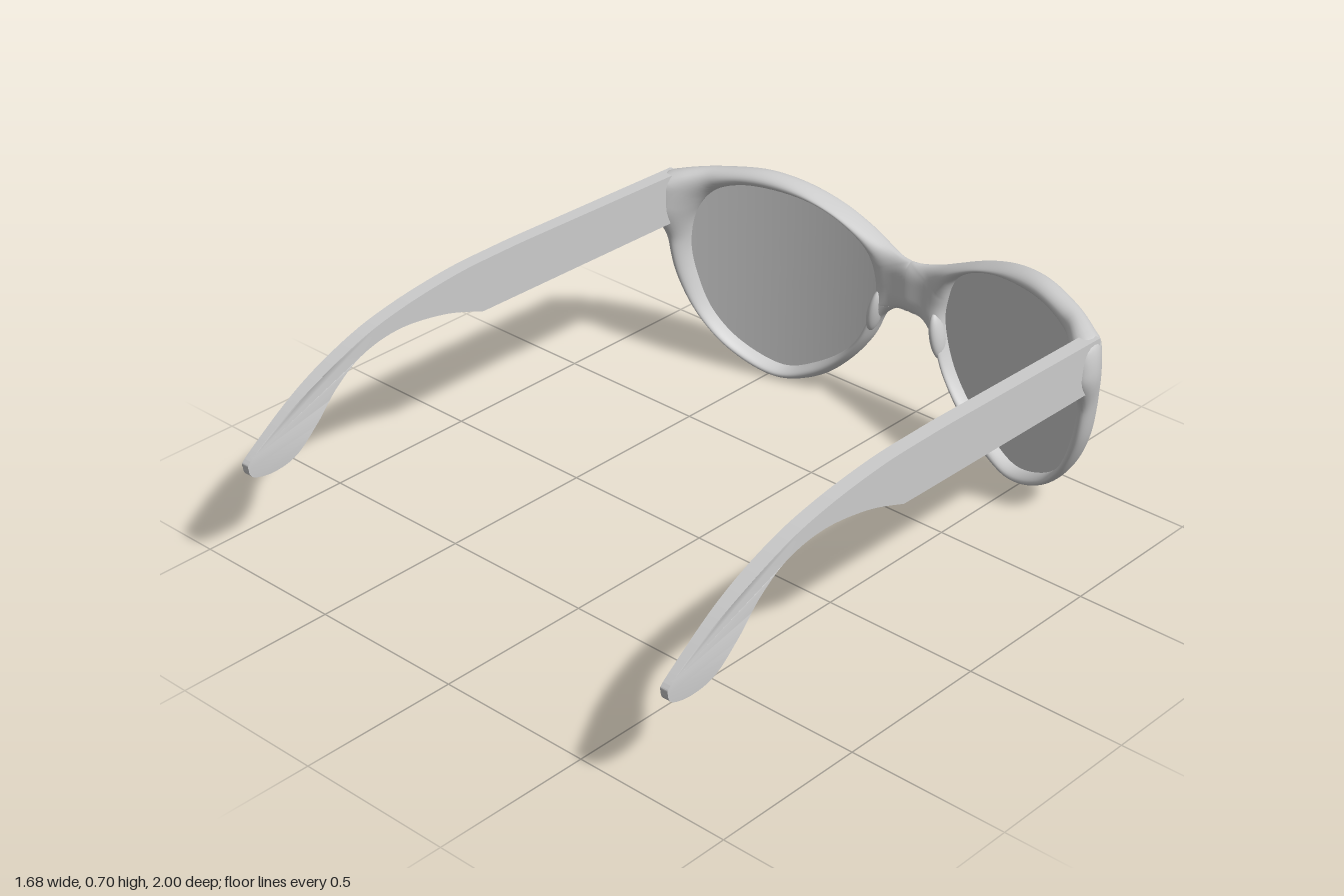
import * as THREE from 'three';
import { mergeVertices, toCreasedNormals } from 'three/addons/utils/BufferGeometryUtils.js';

const V = (p) => new THREE.Vector3(p[0], p[1], 0);
const smooth = THREE.MathUtils.smoothstep;

// half of the frame outline, from the top of the bridge round to the nose arch
const OUTER = [[0, .55], [.04, .552], [.1, .567], [.28, .645], [.415, .69], [.53, .705], [.66, .692], [.78, .672],
  [.82, .655], [.84, .56], [.82, .45], [.79, .31], [.73, .19], [.64, .085], [.53, .02], [.44, .005], [.325, .045],
  [.235, .12], [.155, .225], [.105, .325], [.055, .37], [.03, .378], [0, .38]];
// lens opening
const INNER = [[.13, .39], [.137, .46], [.165, .54], [.235, .597], [.325, .635], [.46, .652], [.6, .645], [.69, .605],
  [.74, .53], [.76, .415], [.74, .3], [.69, .18], [.6, .09], [.46, .04], [.35, .08], [.235, .165], [.165, .265]];
const CX = .45, CY = .35;

// wrap of the front, with a small dip at the bridge
const bend = (x) => -.96 + .295 * x * x + .014 * Math.exp(-((x / .06) ** 2));
// extra depth of the corner that carries the temple
const corner = (x, y) => .05 * smooth(x, .68, .8) * smooth(y, .42, .56);

// rows of points joined into a closed band; flip turns the faces round
function sheet(rows, flip, pos, idx) {
  const base = pos.length / 3, w = rows[0].length, n = rows.length;
  rows.forEach((r) => r.forEach((p) => pos.push(...p)));
  for (let i = 0; i < n; i++) {
    for (let k = 0; k < w - 1; k++) {
      const a = base + i * w + k, b = base + ((i + 1) % n) * w + k;
      if (flip) idx.push(a, b + 1, b, a, a + 1, b + 1);
      else idx.push(a, b, b + 1, a, b + 1, a + 1);
    }
  }
}

function finish(pos, idx) {
  let g = new THREE.BufferGeometry();
  g.setAttribute('position', new THREE.Float32BufferAttribute(pos, 3));
  g.setIndex(idx);
  g = mergeVertices(g, 1e-4);
  g.computeVertexNormals();
  return g;
}

export function createModel() {
  const group = new THREE.Group();
  const mat = new THREE.MeshStandardMaterial({ color: 0xcccccc });
  const thin = new THREE.MeshStandardMaterial({ color: 0xcccccc, side: THREE.DoubleSide });
  const add = (name, geo, m = mat) => {
    const mesh = new THREE.Mesh(geo, m);
    mesh.name = name;
    group.add(mesh);
    return mesh;
  };

  const outerCurve = new THREE.CatmullRomCurve3(OUTER.map(V), false, 'centripetal');
  const innerCurve = new THREE.CatmullRomCurve3(INNER.map(V), true, 'centripetal');
  const outerDense = outerCurve.getSpacedPoints(1200);
  const innerDense = innerCurve.getSpacedPoints(1600);
  const dist = (x, y, pts) => Math.sqrt(pts.reduce((m, p) => Math.min(m, (p.x - x) ** 2 + (p.y - y) ** 2), 9));
  const innerAt = (p) => { // opening point in the same direction from the lens centre
    const l = Math.hypot(p.x - CX, p.y - CY), ux = (p.x - CX) / l, uy = (p.y - CY) / l;
    let best = innerDense[0], top = -2;
    for (const q of innerDense) {
      const c = ((q.x - CX) * ux + (q.y - CY) * uy) / Math.hypot(q.x - CX, q.y - CY);
      if (c > top) { top = c; best = q; }
    }
    return best;
  };

  // frame front: rounded in depth by the distance to the nearest edge
  const N = 150, B = 16, M = 14;
  const rim = outerCurve.getSpacedPoints(N);
  for (let i = 1; i < B; i++) rim.push(new THREE.Vector3(0, .38 + .17 * i / B, 0));
  const front = [], back = [];
  rim.forEach((o, i) => {
    const q = innerAt(o), f = [], b = [];
    for (let k = 0; k <= M; k++) {
      const t = (1 - Math.cos(Math.PI * k / M)) / 2;
      const x = q.x * (1 - t) + o.x * t, y = q.y * (1 - t) + o.y * t;
      let round = 0;
      if (k > 0 && (k < M || i > N)) {
        const dI = dist(x, y, innerDense), dO = dist(x, y, outerDense);
        const r = Math.min(.055, (dI + dO) / 2);
        round = Math.sqrt(1 - (1 - Math.min(1, Math.min(dI, dO) / r)) ** 2);
      }
      const e = corner(x, y), z = bend(x) + e * .4;
      const h = .028 + .014 * smooth(x, .02, .16);
      f.push([x, y, z - (h + e * .3) * round]);
      b.push([x, y, z + (h + e * .6) * round]);
    }
    front.push(f);
    back.push(b);
  });
  const mirror = (rows) => rows.map((r) => r.map(([x, y, z]) => [-x, y, z]));
  const pos = [], idx = [];
  sheet(front, true, pos, idx);
  sheet(back, false, pos, idx);
  sheet(mirror(front), false, pos, idx);
  sheet(mirror(back), true, pos, idx);
  add('frameFront', finish(pos, idx));

  // lenses: curved panes tucked slightly into the rims
  const lensRows = innerCurve.getSpacedPoints(90).slice(0, 90).map((p) => {
    const row = [];
    for (let k = 0; k <= 12; k++) {
      const s = 1.015 * k / 12, x = CX + (p.x - CX) * s;
      row.push([x, CY + (p.y - CY) * s, bend(x) - .004]);
    }
    return row;
  });
  for (const [name, rows] of [['leftLens', lensRows], ['rightLens', mirror(lensRows)]]) {
    const lp = [], li = [];
    sheet(rows, name === 'leftLens', lp, li);
    add(name, finish(lp, li), thin);
  }

  // temples: side profile in (z, y), thinned towards the tip
  const profile = new THREE.Shape();
  profile.moveTo(-.765, .5);
  profile.lineTo(-.765, .662);
  profile.lineTo(-.1, .674);
  const spline = (pts) => profile.splineThru(pts.map((p) => new THREE.Vector2(...p)));
  spline([[0, .674], [.19, .669], [.41, .642], [.59, .597], [.8, .505], [.98, .39], [1, .355], [.98, .325],
    [.91, .314], [.83, .335], [.75, .405], [.67, .49], [.565, .555], [.42, .58], [.245, .557], [.095, .508]]);
  profile.closePath();
  for (const side of [1, -1]) {
    let g = new THREE.ExtrudeGeometry(profile, { depth: .046, bevelEnabled: false, curveSegments: 48 });
    g.rotateY(-Math.PI / 2);
    g.translate(.023, 0, 0);
    const p = g.attributes.position;
    for (let i = 0; i < p.count; i++) {
      p.setX(i, side * .8 + p.getX(i) * (1 - .45 * smooth(p.getZ(i), .68, 1)));
    }
    g = toCreasedNormals(g, .6);
    add(side > 0 ? 'leftTemple' : 'rightTemple', g);

    // nose pad behind the inner rim
    const pad = add(side > 0 ? 'leftNosePad' : 'rightNosePad', new THREE.SphereGeometry(1, 24, 16));
    pad.scale.set(.02, .075, .032);
    pad.position.set(side * .122, .345, -.932);
    pad.rotation.z = side * .2;
  }
  return group;
}
